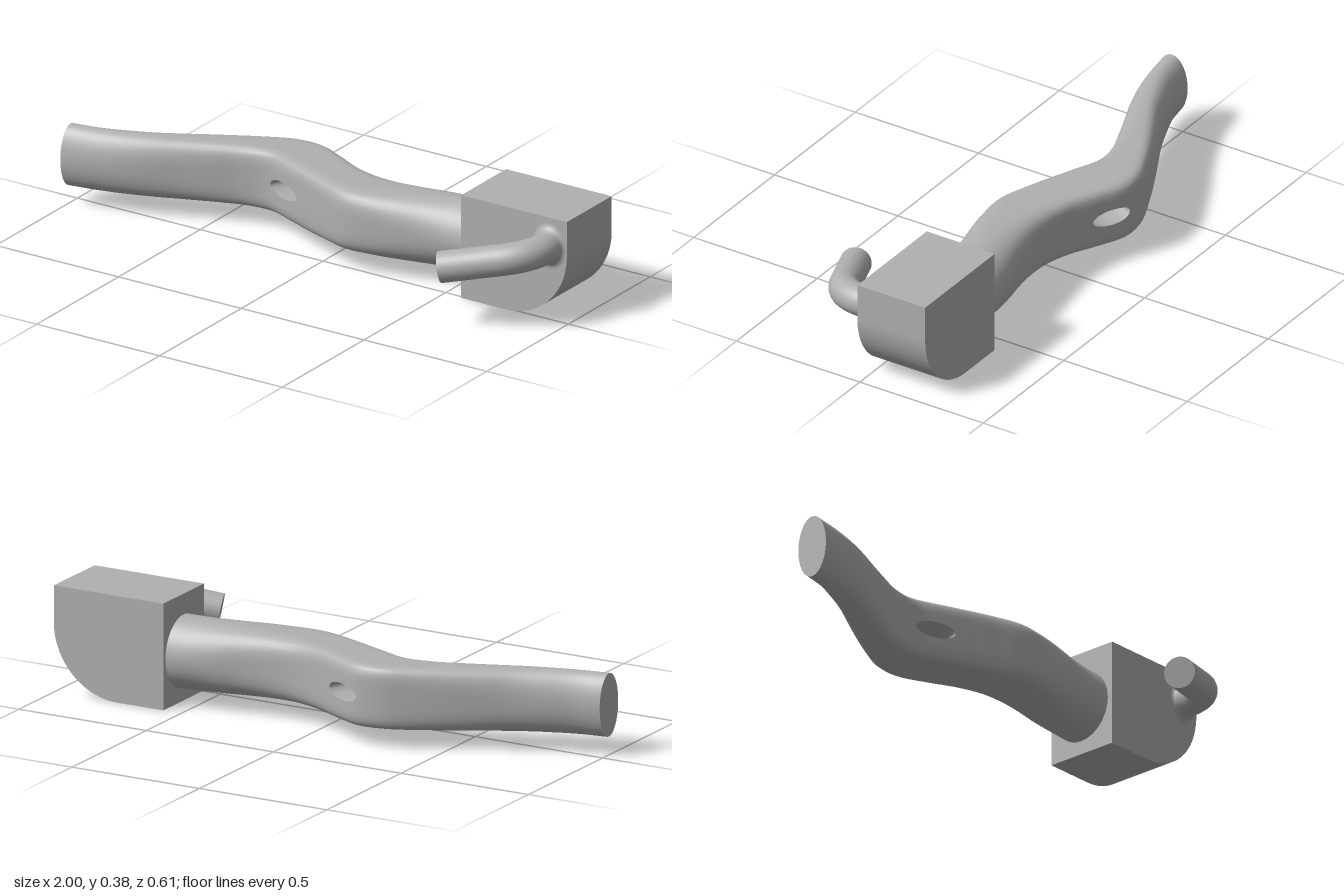
import * as THREE from 'three';
import { toCreasedNormals } from 'three/addons/utils/BufferGeometryUtils.js';

const NX = 80, NA = 64, STEP = 0.02;

// Bar stations every 0.1 in x: back z, front z, squareness of the section
const stations = new THREE.CatmullRomCurve3([
  [-0.02, 0.105, 2], [-0.04, 0.09, 2], [-0.075, 0.065, 2.2], [-0.115, 0.028, 2.5], [-0.165, -0.017, 3],
  [-0.215, -0.06, 3.6], [-0.26, -0.1, 4.5], [-0.297, -0.115, 6], [-0.302, -0.08, 7], [-0.26, -0.04, 7],
  [-0.213, 0, 6], [-0.19, 0.036, 4.5], [-0.19, 0.036, 3.5], [-0.206, 0.024, 2.8], [-0.23, 0.007, 2.3],
  [-0.246, -0.005, 2], [-0.252, -0.012, 2],
].map(p => new THREE.Vector3(...p)), false, 'catmullrom', 0.5);

// Point on the bar surface at length x and angle a around it
function barPoint(x, a) {
  const s = stations.getPoint(THREE.MathUtils.clamp((x + 1) / 1.6, 0, 1));
  const c = Math.cos(a), n = Math.sin(a);
  const r = Math.pow(Math.abs(c) ** s.z + Math.abs(n) ** s.z, -1 / s.z);
  const hy = 0.112 + 0.016 * THREE.MathUtils.smoothstep(x, 0, 0.6);
  return [x, 0.177 + hy * r * n, (s.x + s.y) / 2 + (s.y - s.x) / 2 * r * c];
}

function makeGeometry(pos, idx) {
  const g = new THREE.BufferGeometry();
  g.setAttribute('position', new THREE.Float32BufferAttribute(pos, 3));
  g.setIndex(idx);
  g.computeVertexNormals();
  return g;
}

function buildBar() {
  const HI = 7, HJ = 6, RINGS = 5;
  const pos = [], idx = [];
  const quad = (a, b, c, d) => idx.push(a, b, c, a, c, d);
  const at = (i, j) => i * NA + ((j % NA) + NA) % NA;
  for (let i = 0; i <= NX; i++)
    for (let j = 0; j < NA; j++) pos.push(...barPoint(-1 + i * STEP, j / NA * Math.PI * 2));

  // Skin, leaving a window in front and behind for the slot
  const windows = [{ ci: 39, cj: 0, flip: 1 }, { ci: 43, cj: NA / 2, flip: -1 }];
  const inWindow = (i, j) => windows.some(w => {
    const dj = ((j - w.cj + NA * 1.5) % NA) - NA / 2;
    return i >= w.ci - HI && i < w.ci + HI && dj >= -HJ && dj < HJ;
  });
  for (let i = 0; i < NX; i++)
    for (let j = 0; j < NA; j++)
      if (!inWindow(i, j)) quad(at(i, j), at(i + 1, j), at(i + 1, j + 1), at(i, j + 1));

  // Window border, walked counter-clockwise
  const border = [];
  for (let k = -HI; k < HI; k++) border.push([k, -HJ]);
  for (let k = -HJ; k < HJ; k++) border.push([HI, k]);
  for (let k = HI; k > -HI; k--) border.push([k, HJ]);
  for (let k = HJ; k > -HJ; k--) border.push([-HI, k]);
  const N = border.length;

  // Rings closing each window down to the oval slot edge
  const edges = windows.map(({ ci, cj, flip }) => {
    let prev = border.map(([u, v]) => at(ci + u, cj + v * flip));
    let edge;
    for (let r = 1; r <= RINGS; r++) {
      const t = r / RINGS;
      edge = border.map(([u, v]) => {
        const phi = Math.atan2(v / HJ, u / HI);
        const x = (1 - t) * u * STEP + t * 0.07 * Math.cos(phi);
        const a = (1 - t) * v / NA * Math.PI * 2 + t * Math.atan(0.26 * Math.sin(phi));
        return barPoint(-1 + ci * STEP + x, cj / NA * Math.PI * 2 + a * flip);
      });
      const start = pos.length / 3;
      pos.push(...edge.flat());
      const cur = edge.map((_, k) => start + k);
      for (let k = 0; k < N; k++) {
        const m = (k + 1) % N;
        if (flip > 0) quad(prev[k], prev[m], cur[m], cur[k]);
        else quad(prev[m], prev[k], cur[k], cur[m]);
      }
      prev = cur;
    }
    return edge;
  });

  // Slot wall joining both edges
  const wallIdx = [];
  for (let k = 0; k < N; k++) {
    const m = (k + 1) % N;
    wallIdx.push(k, m, N + m, k, N + m, N + k);
  }

  // Flat end
  const capPos = [-1, 0.177, 0.0425], capIdx = [];
  for (let j = 0; j < NA; j++) {
    capPos.push(...barPoint(-1, j / NA * Math.PI * 2));
    capIdx.push(0, j + 1, (j + 1) % NA + 1);
  }
  return {
    bar: makeGeometry(pos, idx),
    slotWall: makeGeometry(edges.flat(2), wallIdx),
    barEnd: makeGeometry(capPos, capIdx),
  };
}

export function createModel() {
  const model = new THREE.Group();
  const grey = new THREE.MeshStandardMaterial({ color: 0xb0b0b0 });
  grey.name = 'grey';
  const add = (name, geometry) => {
    const mesh = new THREE.Mesh(geometry, grey);
    mesh.name = name;
    model.add(mesh);
    return mesh;
  };

  // Wavy bar with a slot through its bend
  for (const [name, geometry] of Object.entries(buildBar())) add(name, geometry);

  // Block with one rounded lower corner
  const side = new THREE.Shape();
  side.moveTo(0.57, 0);
  side.lineTo(0.75, 0);
  side.absarc(0.75, 0.25, 0.25, -Math.PI / 2, 0, false);
  side.lineTo(1, 0.378);
  side.lineTo(0.57, 0.378);
  side.closePath();
  const block = new THREE.ExtrudeGeometry(side, { depth: 0.275, bevelEnabled: false, curveSegments: 24 });
  block.translate(0, 0, -0.265);
  add('block', toCreasedNormals(block, 0.5));

  // Bent peg
  const V = (x, y, z) => new THREE.Vector3(x, y, z);
  const root = V(0.93, 0.275, -0.02), bendStart = V(0.93, 0.275, 0.03);
  const bendEnd = V(0.835, 0.255, 0.166), tip = V(0.643, 0.214, 0.25);
  const path = new THREE.CurvePath();
  path.add(new THREE.LineCurve3(root, bendStart));
  path.add(new THREE.QuadraticBezierCurve3(bendStart, V(0.93, 0.275, 0.125), bendEnd));
  path.add(new THREE.LineCurve3(bendEnd, tip));
  add('peg', new THREE.TubeGeometry(path, 60, 0.055, 32, false));
  const pegEnd = add('pegEnd', new THREE.CircleGeometry(0.055, 32));
  pegEnd.position.copy(tip);
  pegEnd.lookAt(tip.clone().multiplyScalar(2).sub(bendEnd));

  // Flared fillet at the peg root
  const flare = [];
  for (let k = 0; k <= 8; k++) {
    const t = k / 8 * Math.PI / 2;
    flare.push(new THREE.Vector2(0.085 - 0.03 * Math.sin(t), 0.03 - 0.03 * Math.cos(t)));
  }
  const fillet = new THREE.LatheGeometry(flare, 32);
  fillet.rotateX(Math.PI / 2);
  fillet.scale(0.82, 1, 1);
  add('pegFillet', fillet).position.set(0.93, 0.275, 0.01);

  return model;
}
